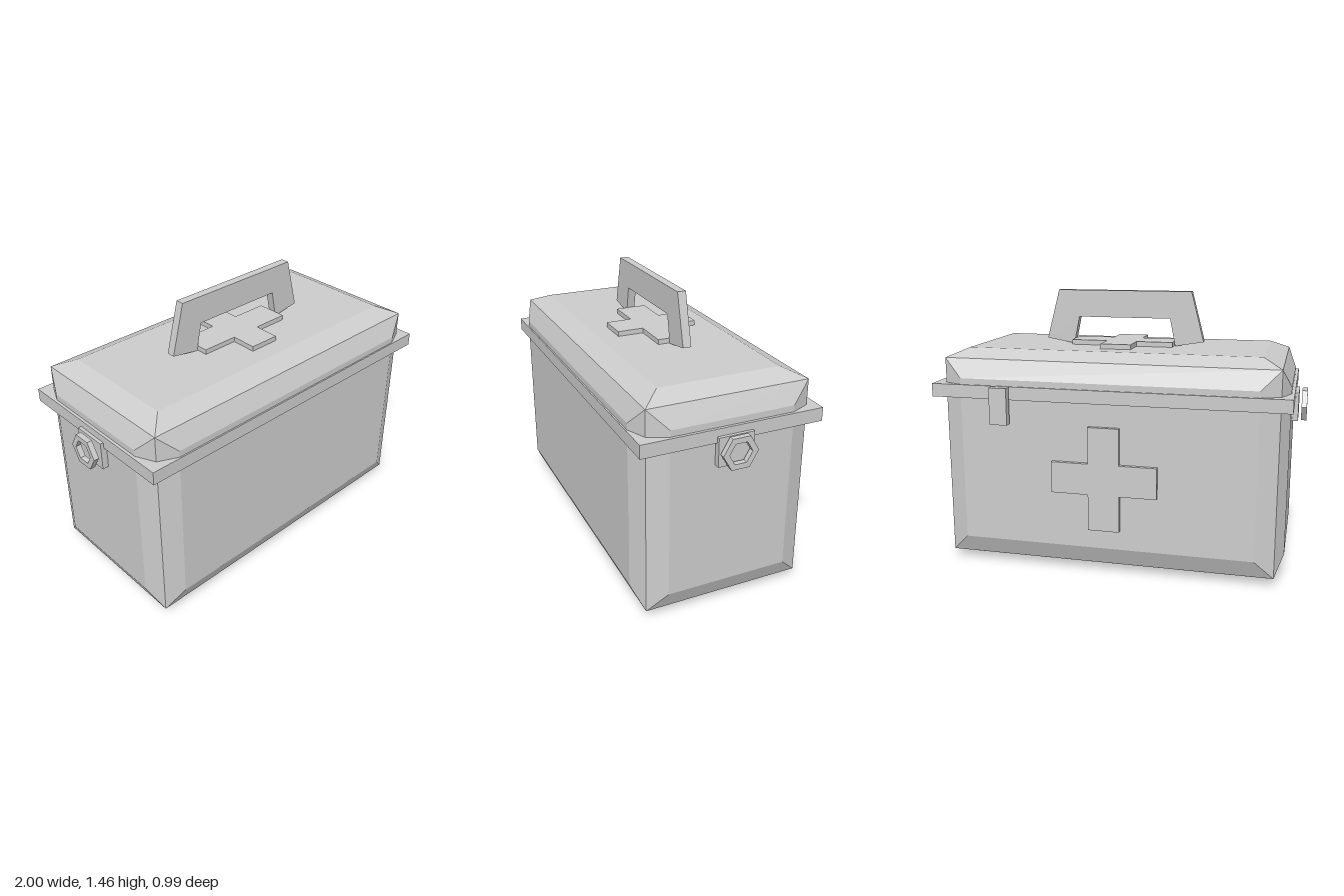
import * as THREE from 'three';

const CZ = 0.022; // depth centre of the case

// Box whose six faces each bulge out as a shallow inset frustum
function bulgedBox(core, bulge, inset) {
  const pos = [];
  const quad = (a, b, c, d) => [a, b, c, a, c, d].forEach((p) => pos.push(...p));
  for (let axis = 0; axis < 3; axis++) {
    const u = (axis + 1) % 3, v = (axis + 2) % 3;
    for (const s of [-1, 1]) {
      const point = (su, sv, isInner) => {
        const p = [0, 0, 0];
        p[axis] = s * (core[axis] + (isInner ? bulge : 0));
        p[u] = su * (core[u] - (isInner ? inset : 0));
        p[v] = sv * (core[v] - (isInner ? inset : 0));
        return p;
      };
      const ring = [[-1, -1], [1, -1], [1, 1], [-1, 1]];
      if (s < 0) ring.reverse();
      const outer = ring.map(([a, b]) => point(a, b, false));
      const inner = ring.map(([a, b]) => point(a, b, true));
      quad(...inner);
      for (let i = 0; i < 4; i++) {
        const j = (i + 1) % 4;
        quad(outer[i], outer[j], inner[j], inner[i]);
      }
    }
  }
  const g = new THREE.BufferGeometry();
  g.setAttribute('position', new THREE.Float32BufferAttribute(pos, 3));
  g.computeVertexNormals();
  return g;
}

const polygon = (pts) => new THREE.Shape(pts.map(([x, y]) => new THREE.Vector2(x, y)));

// Extrusion centred on its own depth
function plate(shape, depth) {
  const g = new THREE.ExtrudeGeometry(shape, { depth, bevelEnabled: false });
  return g.translate(0, 0, -depth / 2);
}

function crossShape(vertical) {
  const a = 0.083, h = 0.28, v = vertical;
  return polygon([
    [-a, -v], [a, -v], [a, -a], [h, -a], [h, a], [a, a],
    [a, v], [-a, v], [-a, a], [-h, a], [-h, -a], [-a, -a],
  ]);
}

const hexPoints = (r) => Array.from({ length: 6 }, (_, i) =>
  new THREE.Vector2(r * Math.cos(i * Math.PI / 3), r * Math.sin(i * Math.PI / 3)));

export function createModel() {
  const group = new THREE.Group();
  const grey = new THREE.MeshStandardMaterial({ color: 0xcccccc, flatShading: true });
  grey.name = 'plain grey';

  const add = (name, geometry, x, y, z) => {
    const mesh = new THREE.Mesh(geometry, grey);
    mesh.name = name;
    mesh.position.set(x, y, z);
    group.add(mesh);
    return mesh;
  };

  // Case and lid rim
  add('caseBody', bulgedBox([0.88, 0.54, 0.42], 0.045, 0.1), 0, 0.588, CZ);
  add('lidRim', new THREE.BoxGeometry(1.88, 0.07, 0.945), 0, 0.96, CZ);

  // Carrying handle: a trapezoid arch
  const half = [[0.285, 1.172], [0.44, 1.198], [0.37, 1.466], [0.255, 1.32]];
  const [foot, heel, top, inner] = half;
  const m = ([x, y]) => [-x, y];
  add('handle', plate(polygon([foot, heel, top, m(top), m(heel), m(foot), m(inner), inner]), 0.045),
    0, 0, CZ);

  // Raised crosses on the lid and the back
  const lidCross = add('lidCross', plate(crossShape(0.222), 0.04), 0, 1.179, CZ);
  lidCross.rotation.x = -Math.PI / 2;
  add('backCross', plate(crossShape(0.277), 0.04), 0, 0.529, -0.445);

  // Single latch on the back
  add('backLatch', new THREE.BoxGeometry(0.095, 0.195, 0.04), 0.553, 0.897, -0.478);

  // Hexagonal strap rings with their mounting plates
  for (const side of [1, -1]) {
    const label = side > 0 ? 'left' : 'right';
    add(label + 'RingMount', new THREE.BoxGeometry(0.04, 0.15, 0.185), side * 0.937, 0.882, CZ);
    const hex = new THREE.Shape(hexPoints(0.092));
    hex.holes.push(new THREE.Path(hexPoints(0.06)));
    const ring = add(label + 'StrapRing', plate(hex, 0.028), side * 0.986, 0.882, CZ);
    ring.rotation.y = Math.PI / 2;
  }
  return group;
}
